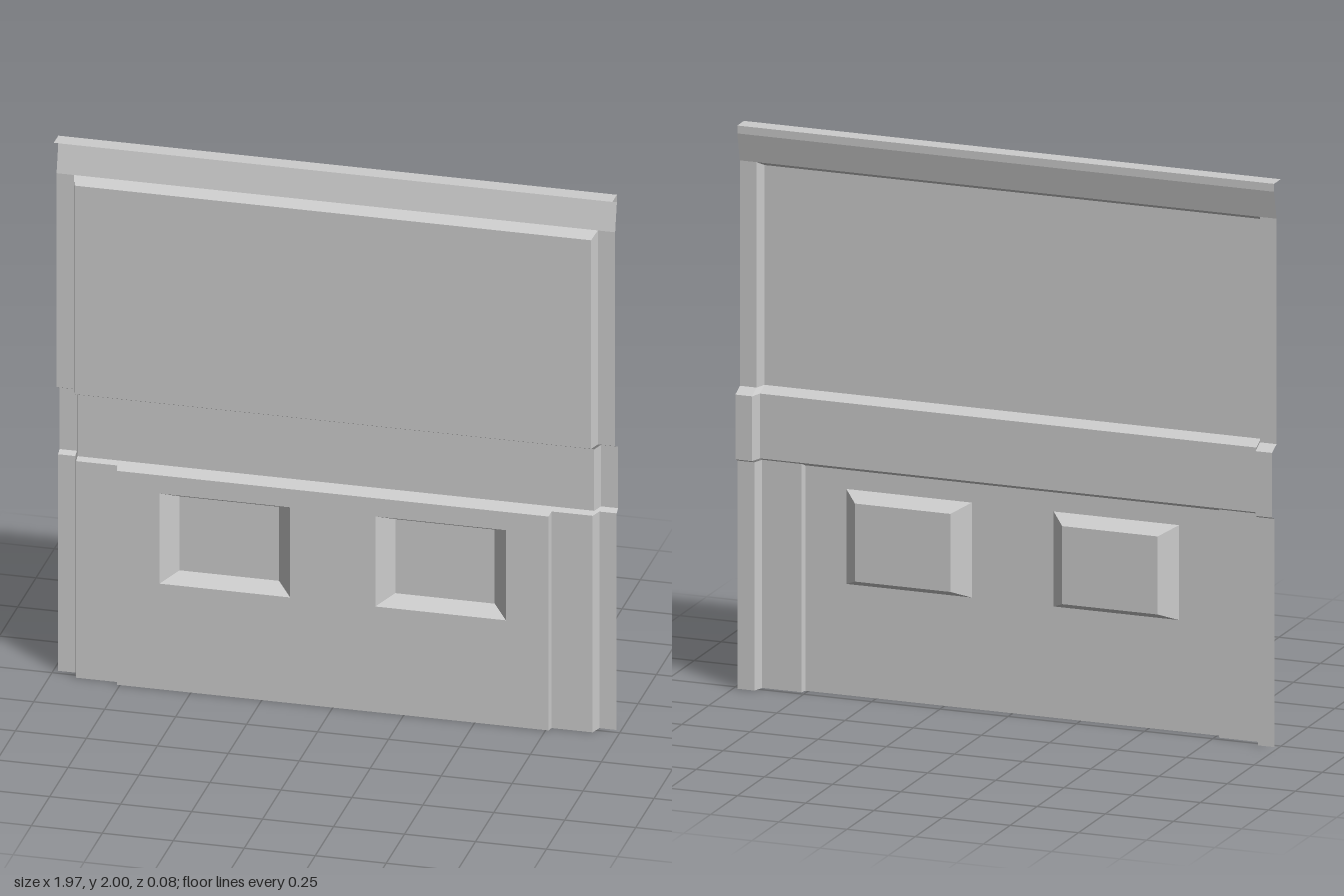
import * as THREE from 'three';

const material = new THREE.MeshStandardMaterial({ color: 0xcccccc, flatShading: true, side: THREE.DoubleSide });

function addMesh(group, name, geometry) {
  const mesh = new THREE.Mesh(geometry, material);
  mesh.name = name;
  group.add(mesh);
  return mesh;
}

// Sheet through rows of [x, y, z] points, rows running upwards; skip(i) leaves out a column
function sheet(rows, skip = () => false) {
  const p = [];
  for (let j = 0; j < rows.length - 1; j++) {
    for (let i = 0; i < rows[j].length - 1; i++) {
      if (skip(i, j)) continue;
      const a = rows[j][i], b = rows[j][i + 1], c = rows[j + 1][i], d = rows[j + 1][i + 1];
      // diagonals mirror about the centre so that mitred corners fold cleanly
      if (a[0] + b[0] >= 0) p.push(...a, ...b, ...d, ...a, ...d, ...c);
      else p.push(...a, ...b, ...c, ...b, ...d, ...c);
    }
  }
  const g = new THREE.BufferGeometry();
  g.setAttribute('position', new THREE.Float32BufferAttribute(p, 3));
  g.computeVertexNormals();
  return g;
}

const HALF = 0.984, FRONT = 0.042, BACK = -0.042, STEP = 0.02;

// One mirrored row: edge flange, inner side strip and main field
function row(y, flangeZ, stripZ, mainZ = stripZ, mainY = y, flangeY = y) {
  const right = [
    [0.76, mainY, mainZ], [0.765, y, stripZ], [0.91, y, stripZ],
    [0.923, flangeY, flangeZ], [HALF, flangeY, flangeZ],
  ];
  return [...right.map(([x, yy, z]) => [-x, yy, z]).reverse(), ...right];
}

function rectangle(x0, x1, y0, y1, Type = THREE.Path) {
  return new Type([[x0, y0], [x1, y0], [x1, y1], [x0, y1]].map(([x, y]) => new THREE.Vector2(x, y)));
}

export function createModel() {
  const group = new THREE.Group();
  group.name = 'pressedDoorPanel';

  // Upper raised field with its bevelled frame
  addMesh(group, 'upperPanel', sheet([row(1.07, 0, FRONT), row(1.85, 0, FRONT), row(1.87, 0, 0)]));

  // Set-back band across the middle, with the sloped ledge above
  addMesh(group, 'middleBand', sheet([row(0.82, BACK, 0), row(1.05, BACK, 0), row(1.07, 0, FRONT)]));

  // Lower side strips, flanges and the bevel under the band; the centre is filled below
  addMesh(group, 'lowerSides', sheet([
    row(0, -0.02, STEP, FRONT),
    row(0.81, -0.02, STEP, FRONT, 0.8),
    row(0.82, BACK, 0),
  ], (i, j) => j === 0 && i === 4));

  // Lower centre field with two openings
  const field = rectangle(-0.76, 0.76, 0, 0.8, THREE.Shape);
  const centres = [-0.38, 0.38];
  for (const x of centres) field.holes.push(rectangle(x - 0.23, x + 0.23, 0.395, 0.732));
  addMesh(group, 'lowerPanel', new THREE.ShapeGeometry(field)).position.z = FRONT;

  // Recessed trays in the openings
  for (const x of centres) {
    const ring = (w, y0, y1, z) =>
      [[-w, y0], [w, y0], [w, y1], [-w, y1], [-w, y0]].map(([dx, y]) => [x + dx, y, z]);
    const tray = new THREE.Group();
    tray.name = x < 0 ? 'rightRecess' : 'leftRecess';
    addMesh(tray, 'recessWalls', sheet([ring(0.23, 0.395, 0.732, FRONT), ring(0.175, 0.425, 0.702, -0.018)]));
    const floor = rectangle(x - 0.175, x + 0.175, 0.425, 0.702, THREE.Shape);
    addMesh(tray, 'recessFloor', new THREE.ShapeGeometry(floor)).position.z = -0.018;
    group.add(tray);
  }

  // Top edge: leans back, rises, then folds forward into a flat lip
  const topProfile = [[1.87, 0], [1.972, -0.024], [2, -0.024], [2, 0.038]];
  addMesh(group, 'topLip', sheet(topProfile.map(([y, z]) => [[-HALF, y, z], [HALF, y, z]])));

  return group;
}
